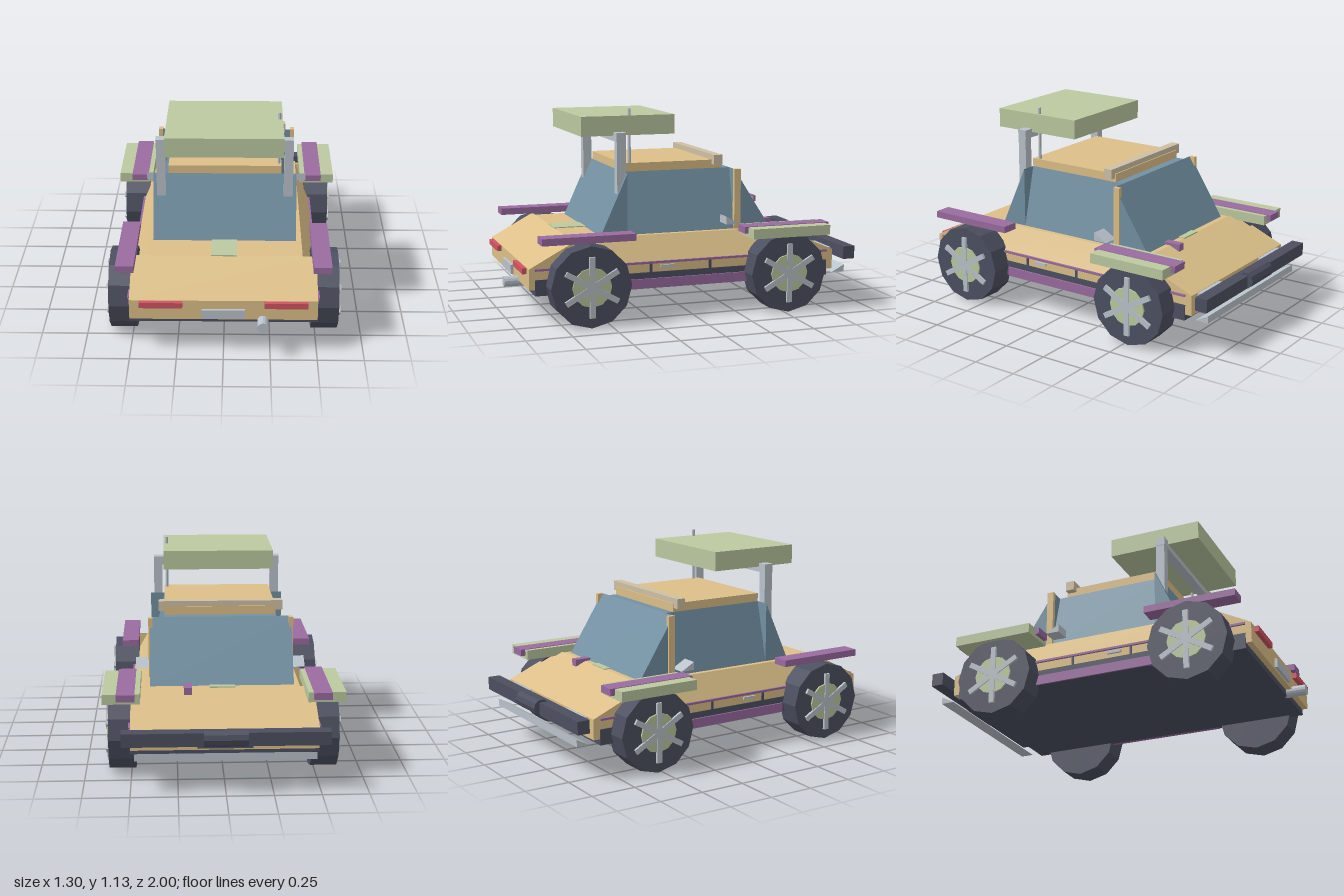
import * as THREE from 'three';

const mat = (name, color) => {
  const m = new THREE.MeshStandardMaterial({ color });
  m.name = name;
  m.flatShading = true;
  return m;
};

export function createModel() {
  const tan = mat('tan paint', 0xdcbf88);
  const purple = mat('purple trim', 0x9a6ba0);
  const green = mat('pale green', 0xbbc9a0);
  const dark = mat('dark rubber', 0x4c4f60);
  const grey = mat('light metal', 0xbac2ca);
  const red = mat('red lens', 0xd05463);
  const blue = mat('blue glass', 0x7391a3);
  const beige = mat('beige bar', 0xcfc0a4);

  const car = new THREE.Group();
  car.name = 'car';

  const add = (name, geometry, material, parent = car) => {
    const mesh = new THREE.Mesh(geometry, material);
    mesh.name = name;
    parent.add(mesh);
    return mesh;
  };
  // box given by its minimum and maximum on each axis
  const box = (name, material, x0, x1, y0, y1, z0, z1) => {
    const g = new THREE.BoxGeometry(x1 - x0, y1 - y0, z1 - z0);
    g.translate((x0 + x1) / 2, (y0 + y1) / 2, (z0 + z1) / 2);
    return add(name, g, material);
  };
  // the same box on both sides of the car
  const pair = (name, material, x0, x1, y0, y1, z0, z1) => {
    box(name + 'Left', material, x0, x1, y0, y1, z0, z1);
    box(name + 'Right', material, -x1, -x0, y0, y1, z0, z1);
  };
  const extrude = (points, depth) => {
    const shape = new THREE.Shape(points.map(([a, b]) => new THREE.Vector2(a, b)));
    return new THREE.ExtrudeGeometry(shape, { depth, bevelEnabled: false });
  };
  // (z, y) profile running across the car from x0 to x1
  const across = (name, material, points, x0, x1) =>
    add(name, extrude(points, x1 - x0).rotateY(-Math.PI / 2).translate(x1, 0, 0), material);
  // (x, y) profile running along the car from z0 to z1
  const along = (name, material, points, z0, z1) =>
    add(name, extrude(points, z1 - z0).translate(0, 0, z0), material);
  // centre block with tapered sides and a full-width ramp at each end
  const rampedBlock = (name, material, [wide, narrow], [y0, y1], [zA, zB, zC, zD]) => {
    along(name + 'Middle', material, [[-wide, y0], [wide, y0], [narrow, y1], [-narrow, y1]], zB, zC);
    across(name + 'RearRamp', material, [[zA, y0], [zB, y0], [zB, y1]], -wide, wide);
    across(name + 'FrontRamp', material, [[zC, y0], [zD, y0], [zC, y1]], -wide, wide);
  };

  // Body and chassis
  box('chassis', dark, -0.505, 0.505, 0.17, 0.257, -0.81, 0.89);
  box('lowerBody', tan, -0.5, 0.5, 0.203, 0.316, -0.848, 0.922);
  rampedBlock('upperBody', tan, [0.5, 0.425], [0.316, 0.45], [-0.848, -0.53, 0.672, 0.922]);
  pair('sideTrim', purple, 0.49, 0.511, 0.305, 0.317, -0.81, 0.89);
  pair('sill', purple, 0.49, 0.515, 0.17, 0.223, -0.36, 0.38);
  for (const z of [0.245, -0.1]) pair('doorSeam', dark, 0.495, 0.506, 0.255, 0.305, z - 0.007, z + 0.007);
  pair('doorHandle', grey, 0.495, 0.511, 0.28, 0.295, 0.11, 0.19);
  box('bonnetStripe', green, -0.07, 0.07, 0.44, 0.455, -0.535, 0.675);
  box('bonnetCatch', purple, 0.168, 0.212, 0.425, 0.465, -0.59, -0.495);

  // Cabin
  rampedBlock('cabin', blue, [0.395, 0.312], [0.45, 0.788], [-0.5, -0.285, 0.343, 0.497]);
  box('roof', tan, -0.312, 0.312, 0.788, 0.835, -0.237, 0.343);
  box('roofBar', beige, -0.35, 0.347, 0.81, 0.865, -0.231, -0.18);
  pair('pillar', tan, 0.38, 0.404, 0.45, 0.788, -0.32, -0.282);
  for (const s of [-1, 1])
    across('mirror', grey, [[-0.285, 0.49], [-0.205, 0.49], [-0.205, 0.535]],
      s > 0 ? 0.385 : -0.477, s > 0 ? 0.477 : -0.385);

  // Raised roof box on its frame, and the aerial
  pair('framePost', grey, 0.325, 0.375, 0.672, 1.01, 0.345, 0.395);
  box('frameCrossbar', grey, -0.377, 0.375, 0.96, 1.01, 0.343, 0.397);
  box('roofBox', green, -0.318, 0.316, 0.99, 1.098, 0.043, 0.58);
  add('aerial', new THREE.CylinderGeometry(0.009, 0.009, 0.31, 8), grey).position.set(0.298, 0.98, 0.302);

  // Fenders and side pods
  pair('frontFender', purple, 0.475, 0.573, 0.45, 0.488, 0.35, 0.866);
  pair('rearFender', purple, 0.475, 0.573, 0.45, 0.488, -0.787, -0.278);
  pair('sidePod', green, 0.447, 0.648, 0.43, 0.485, -0.76, -0.3);

  // Lamps, plate and exhaust on the +z end
  pair('redLamp', red, 0.217, 0.447, 0.282, 0.314, 0.91, 0.946);
  box('numberPlate', grey, -0.116, 0.114, 0.215, 0.267, 0.915, 0.938);
  add('exhaust', new THREE.CylinderGeometry(0.03, 0.03, 0.12, 14).rotateX(Math.PI / 2), grey)
    .position.set(0.21, 0.197, 0.94);

  // Bumper, winch, skid plate, grille and lamps on the -z end
  box('bumper', dark, -0.548, 0.545, 0.262, 0.335, -0.967, -0.897);
  add('winch', new THREE.CylinderGeometry(0.046, 0.046, 0.23, 10).rotateZ(Math.PI / 2), dark)
    .position.set(0, 0.305, -0.954);
  across('skidPlate', grey, [[-0.937, 0.175], [-0.86, 0.215], [-0.86, 0.175]].map(([z, y]) => [-1.797 - z, y]),
    -0.478, 0.478);
  box('grille', dark, -0.148, 0.146, 0.222, 0.29, -0.883, -0.84);
  pair('headlamp', grey, 0.222, 0.44, 0.278, 0.314, -0.87, -0.84);

  // Wheels: tyre, hub disc and three crossing bars
  for (const s of [-1, 1]) for (const z of [0.61, -0.525]) {
    const wheel = new THREE.Group();
    wheel.name = 'wheel';
    wheel.position.set(s * 0.5475, 0.223, z);
    car.add(wheel);
    const disc = (name, r, w, material, x) =>
      add(name, new THREE.CylinderGeometry(r, r, w, 12).rotateZ(Math.PI / 2), material, wheel).position.set(x, 0, 0);
    disc('tyre', 0.222, 0.145, dark, 0);
    disc('hub', 0.108, 0.02, green, s * 0.072);
    for (let i = 0; i < 3; i++) {
      const bar = add('spoke', new THREE.BoxGeometry(0.016, 0.33, 0.03), grey, wheel);
      bar.position.x = s * 0.079;
      bar.rotation.x = (i * Math.PI) / 3;
    }
  }
  return car;
}
